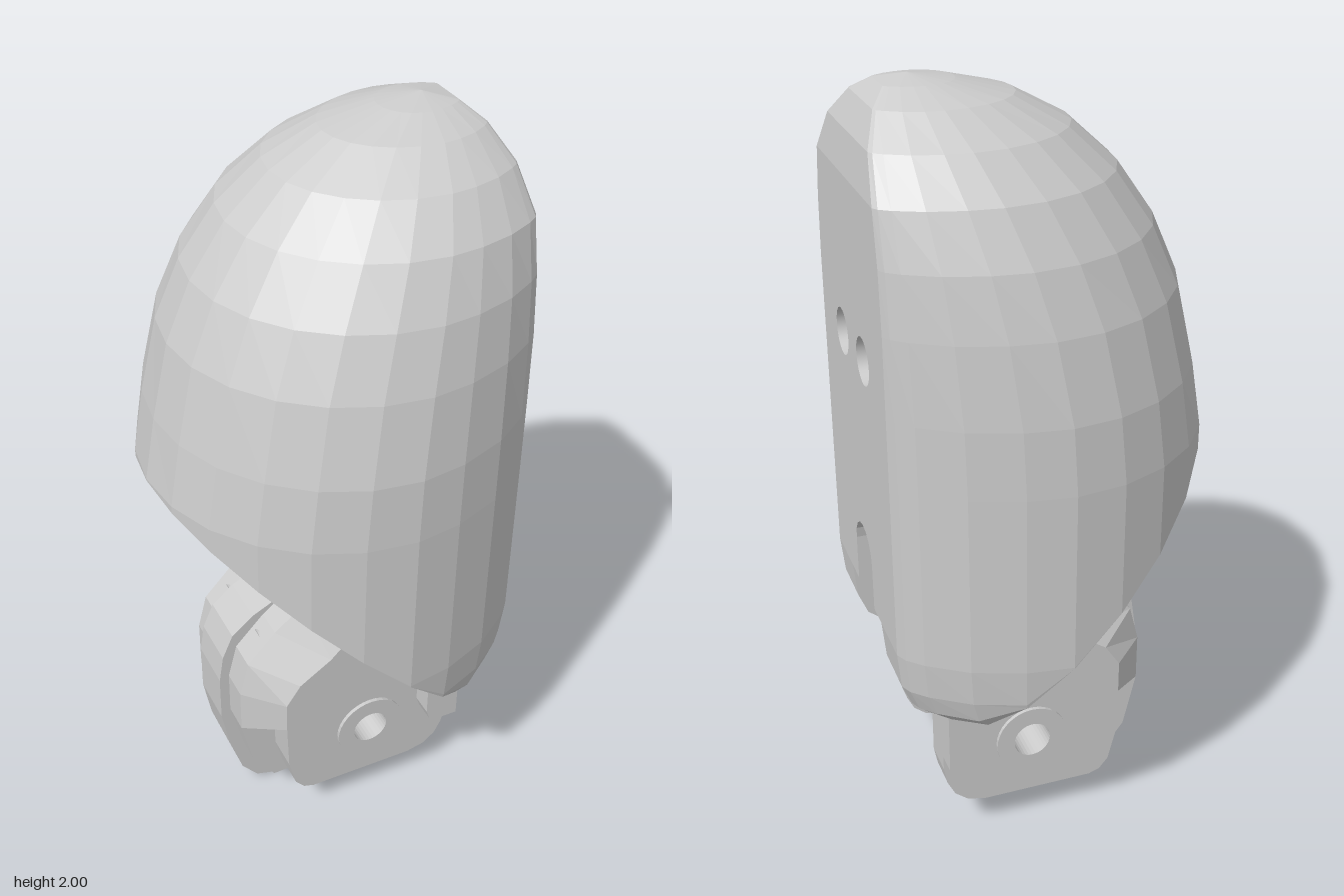
import * as THREE from 'three';

const flat = new THREE.MeshStandardMaterial({ color: 0xcccccc, flatShading: true, side: THREE.DoubleSide });
const smooth = new THREE.MeshStandardMaterial({ color: 0xcccccc, side: THREE.DoubleSide });

// Shell sections: height, back x, front x, half width, half width of the flat pad
const rows = [
  [0.465, -0.44, 0.36, 0.465, 0.28], [0.5, -0.44, 0.405, 0.48, 0.29], [0.56, -0.44, 0.43, 0.49, 0.295],
  [0.66, -0.44, 0.44, 0.497, 0.3], [1.13, -0.44, 0.44, 0.497, 0.3], [1.3, -0.41, 0.44, 0.49, 0.3],
  [1.5, -0.365, 0.44, 0.46, 0.3], [1.65, -0.3, 0.44, 0.42, 0.29], [1.78, -0.21, 0.44, 0.36, 0.265],
  [1.88, -0.1, 0.425, 0.275, 0.19], [1.95, 0.03, 0.39, 0.175, 0.11], [1.985, 0.17, 0.35, 0.085, 0.05],
];
const PAD_LOW = 3, PAD_HIGH = 8; // rows bounding the flat pad
const SLOT = 0.15, SLOT_TOP = 0.66, SLOT_BACK = -0.08;

const underside = x => 0.465 + Math.max(0, 0.25 - x) * 0.957;

function section(y) {
  let i = 0;
  while (i < rows.length - 2 && rows[i + 1][0] < y) i++;
  const t = Math.min(1, Math.max(0, (y - rows[i][0]) / (rows[i + 1][0] - rows[i][0])));
  return rows[i].map((v, k) => v + (rows[i + 1][k] - v) * t);
}

// Half outline in unit coordinates, from the pad round to the back
const half = [[1, 0.3], [1, 0.6], [0.965, 0.66], [0.87, 0.735], [0.62, 0.87], [0.3, 0.965], [0, 1]];
const SIDE = half.length - 1;
for (let a = 1; a <= 6; a++) half.push([-Math.sin(a * Math.PI / 12), a === 6 ? 0 : Math.cos(a * Math.PI / 12)]);
const columns = [...half, ...half.slice(0, -1).reverse().map(([u, v]) => [u, -v])];

function place([u, v], y) {
  const [, back, front, w, pad] = section(y);
  const mid = y < 1.13 ? 0.05 : 0.05 + 0.22 * ((y - 1.13) / 0.87) ** 2;
  const x = u < 0 ? mid + u * (mid - back) : mid + u * (front - mid);
  let z = Math.abs(v) * w;
  if (Math.abs(v) === 0.3) z = y <= SLOT_TOP ? SLOT : pad / 2;
  else if (u >= 0) z = w - (1 - Math.abs(v)) * (w - pad) / 0.4;
  return [x, y, Math.sign(v) * z];
}

function shellPoint(col, y) {
  const p = place(col, y);
  if (y >= underside(p[0])) return p;
  const q = place(col, underside(place(col, SLOT_TOP)[0]));
  q[1] = underside(q[0]);
  return q;
}

// Collects quads and triangles, dropping collapsed ones
function surface() {
  const data = [];
  const tri = (...pts) => {
    const t = new THREE.Triangle(...pts.map(p => new THREE.Vector3(...p)));
    if (t.getArea() > 1e-7) data.push(...pts.flat());
  };
  const quad = (a, b, c, d) => { tri(a, b, c); tri(a, c, d); };
  const build = () => {
    const g = new THREE.BufferGeometry();
    g.setAttribute('position', new THREE.Float32BufferAttribute(data, 3));
    g.computeVertexNormals();
    return g;
  };
  return { tri, quad, build };
}

function shellGeometry() {
  const s = surface(), n = columns.length;
  const grid = rows.map(r => columns.map(c => shellPoint(c, r[0])));
  for (let r = 0; r < rows.length - 1; r++) {
    for (let i = 0; i < n; i++) {
      const j = (i + 1) % n;
      const onPad = i === 0 || i >= n - 2;
      if (onPad && r >= PAD_LOW && r < PAD_HIGH) continue;
      if (i === n - 1 && r < PAD_LOW) continue;
      s.quad(grid[r][i], grid[r + 1][i], grid[r + 1][j], grid[r][j]);
    }
  }
  const top = grid[rows.length - 1];
  top.forEach((p, i) => s.tri(p, [0.28, 2, 0], top[(i + 1) % n]));
  // Slanted underside, open where the joint enters
  for (let i = 0; i < half.length - 1; i++) {
    const a = grid[0][i], b = grid[0][i + 1];
    const edge = i < SIDE ? SLOT : 0;
    for (const m of [1, -1]) {
      const pts = [[a[0], a[1], a[2] * m], [b[0], b[1], b[2] * m], [b[0], b[1], edge * m], [a[0], a[1], edge * m]];
      s.quad(...(m > 0 ? pts : pts.reverse()));
    }
  }
  return s.build();
}

const toShape = pts => new THREE.Shape(pts.map(p => new THREE.Vector2(...p)));

function ovalHole(x, y, rx, ry = rx) {
  const h = new THREE.Path();
  h.absellipse(x, y, rx, ry, 0, Math.PI * 2, true);
  return h;
}

// Plate in the x-y plane from z0 to z1
function plate(pts, z0, z1, hole) {
  const shape = toShape(pts);
  if (hole) shape.holes.push(hole);
  return new THREE.ExtrudeGeometry(shape, { depth: z1 - z0, bevelEnabled: false, curveSegments: 16 }).translate(0, 0, z0);
}

// Flat sheet facing +x
const sheet = (shape, x) => new THREE.ShapeGeometry(shape, 16).rotateY(Math.PI / 2).translate(x, 0, 0);

// Blind hole running along x, open towards +x
function bore(y, z, r, x0, x1, stretch = 1) {
  const g = new THREE.Group();
  const tube = new THREE.Mesh(new THREE.CylinderGeometry(r, r, x1 - x0, 32, 1, true).rotateZ(Math.PI / 2), smooth);
  tube.position.x = (x0 + x1) / 2;
  const end = new THREE.Mesh(new THREE.CircleGeometry(r, 32).rotateY(Math.PI / 2), smooth);
  end.position.x = x0;
  g.add(tube, end);
  g.scale.y = stretch;
  g.position.set(0, y, z);
  return g;
}

export function createModel() {
  const model = new THREE.Group();
  const add = (name, geometry, material = flat) => {
    const m = new THREE.Mesh(geometry, material);
    m.name = name;
    model.add(m);
  };
  const addBore = (name, ...args) => {
    const b = bore(...args);
    b.name = name;
    model.add(b);
  };

  add('fingertipShell', shellGeometry());

  // Flat pad with keyhole notch and two round holes
  const side = rows.slice(PAD_LOW, PAD_HIGH + 1).map(r => [r[4], r[0]]);
  const arch = [[0.08, SLOT_TOP]];
  for (let a = 0; a <= 8; a++) arch.push([0.08 * Math.cos(a * Math.PI / 8), 0.785 + 0.08 * Math.sin(a * Math.PI / 8)]);
  arch.push([-0.08, SLOT_TOP]);
  const pad = toShape([...side, ...side.map(([z, y]) => [-z, y]).reverse(), ...arch.slice().reverse()]);
  for (const z of [-0.1, 0.1]) {
    pad.holes.push(ovalHole(z, 1.36, 0.06));
    addBore('padHole', 1.36, z, 0.06, 0.2, 0.44);
  }
  add('pad', sheet(pad, 0.44));

  // Keyhole pocket, its screw hole and the slot ceiling
  const pocket = surface();
  for (let i = 0; i < arch.length - 1; i++) {
    const [z0, y0] = arch[i], [z1, y1] = arch[i + 1];
    pocket.quad([0.44, y0, z0], [0.2, y0, z0], [0.2, y1, z1], [0.44, y1, z1]);
  }
  const ceiling = (x1, z0, z1) => pocket.quad([SLOT_BACK, SLOT_TOP, z0], [x1, SLOT_TOP, z0], [x1, SLOT_TOP, z1], [SLOT_BACK, SLOT_TOP, z1]);
  ceiling(0.44, 0.08, SLOT);
  ceiling(0.44, -SLOT, -0.08);
  ceiling(0.2, -0.08, 0.08);
  add('pocketWall', pocket.build());
  const pocketBack = toShape(arch);
  pocketBack.holes.push(ovalHole(0, 0.725, 0.042));
  add('pocketBack', sheet(pocketBack, 0.2));
  addBore('screwHole', 0.725, 0, 0.042, 0.08, 0.2);

  // Fork: ears, pin bosses, stop blocks and slot sides, with shoulders blending into the knuckle
  const earTop = [[0.02, 0.74], [0.01, 0.63], [-0.05, 0.57], [-0.14, 0.51], [-0.18, 0.45], [-0.18, 0.36]];
  const neckEdge = [[-0.08, 0.78], [-0.09, 0.7], [-0.17, 0.635], [-0.25, 0.55], [-0.275, 0.45], [-0.275, 0.32]];
  const ear = [...earTop, [-0.175, 0.22], [-0.155, 0.14], [-0.13, 0.11], [-0.1, 0.1], [0.2, 0.1], [0.25, 0.112], [0.285, 0.14],
    [0.305, 0.18], [0.315, 0.23], [0.315, 0.5], [0.22, 0.58], [0.1, 0.72]];
  const slotSide = [[SLOT_BACK, 0.66], [SLOT_BACK, 0.5], [0.25, 0.465], [0.36, 0.465], [0.405, 0.5], [0.43, 0.56], [0.44, 0.66]];
  const block = [[0.22, 0.55], [0.22, 0.31], [0.23, 0.28], [0.26, 0.27], [0.315, 0.27], [0.315, 0.55]];
  const boss = new THREE.Shape().absarc(0.07, 0.27, 0.098, 0, Math.PI * 2).getPoints(16).slice(0, -1).map(p => [p.x, p.y]);
  for (const m of [1, -1]) {
    const span = (a, b) => m > 0 ? [a, b] : [-b, -a];
    add('forkEar', plate(ear, ...span(0.152, 0.245), ovalHole(0.07, 0.27, 0.05)));
    add('pinBoss', plate(boss, ...span(0.24, 0.255), ovalHole(0.07, 0.27, 0.05)));
    add('stopBlock', plate(block, ...span(0.24, 0.305)));
    add('slotSide', new THREE.ShapeGeometry(toShape(slotSide)).translate(0, 0, m * SLOT));
    const shoulder = surface();
    for (let i = 0; i < earTop.length - 1; i++) {
      const pts = [[...neckEdge[i], m * 0.15], [...neckEdge[i + 1], m * 0.15], [...earTop[i + 1], m * 0.245], [...earTop[i], m * 0.245]];
      shoulder.quad(...(m > 0 ? pts : pts.reverse()));
    }
    add('knuckleShoulder', shoulder.build());
  }

  // Hollow knuckle: curved outside, flat inner panel with two oval tendon holes
  const outer = [...neckEdge, [-0.24, 0.17], [-0.18, 0.09], [0.12, 0.1], [0.02, 0.125], [-0.05, 0.165], [SLOT_BACK, 0.22]];
  const skin = surface();
  for (let i = 0; i < outer.length - 1; i++) {
    const [x0, y0] = outer[i], [x1, y1] = outer[i + 1];
    skin.quad([x0, y0, -SLOT], [x1, y1, -SLOT], [x1, y1, SLOT], [x0, y0, SLOT]);
  }
  add('knuckleSkin', skin.build());
  for (const z of [-SLOT, SLOT]) add('knuckleSide', new THREE.ShapeGeometry(toShape([...outer, [SLOT_BACK, SLOT_TOP]])).translate(0, 0, z));
  const panel = toShape([[-SLOT, 0.22], [SLOT, 0.22], [SLOT, SLOT_TOP], [-SLOT, SLOT_TOP]]);
  for (const z of [-0.1, 0.1]) {
    panel.holes.push(ovalHole(z, 0.54, 0.04, 0.07));
    addBore('tendonHole', 0.54, z, 0.04, -0.2, SLOT_BACK, 1.75);
  }
  add('knucklePanel', sheet(panel, SLOT_BACK));

  // Raised central ridge curling under the joint
  const ridge = [[-0.1, 0.69], [-0.2, 0.64], [-0.26, 0.59], [-0.29, 0.52], [-0.302, 0.44], [-0.302, 0.3], [-0.28, 0.18],
    [-0.245, 0.07], [-0.2, 0.015], [-0.15, 0], [-0.03, 0.02], [0.06, 0.05], [0.13, 0.1], [-0.1, 0.14], [-0.17, 0.3], [-0.17, 0.45]];
  add('knuckleRidge', plate(ridge, -0.07, 0.07));
  return model;
}
